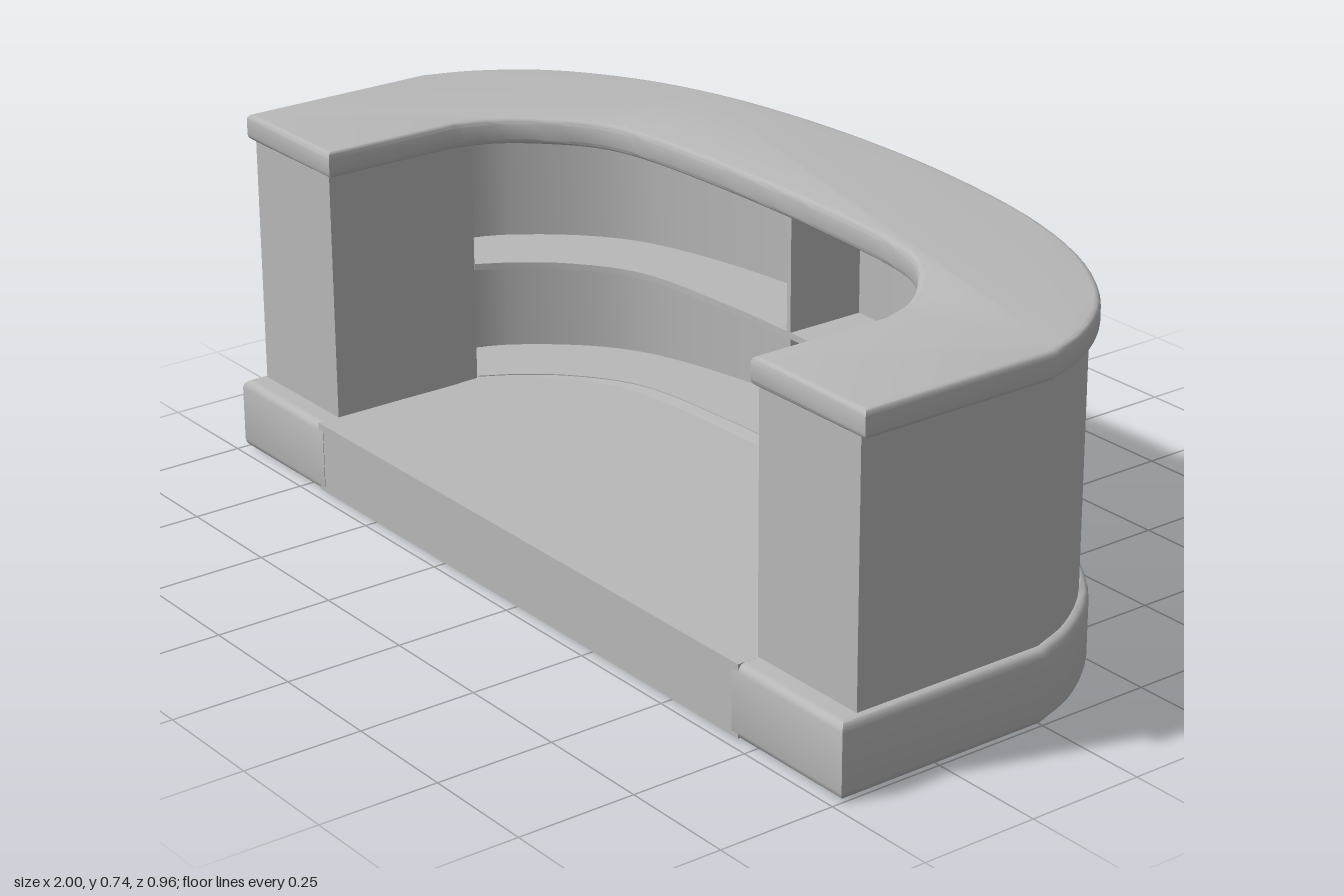
import * as THREE from 'three';
import { toCreasedNormals } from 'three/addons/utils/BufferGeometryUtils.js';
import { RoundedBoxGeometry } from 'three/addons/geometries/RoundedBoxGeometry.js';

// Symmetric plan outline in [x, z]: straight points on the left half, then a
// smooth curve whose last control point lies on the centre line.
function outline(straight, curve) {
  const flip = ([x, z]) => [-x, z];
  const control = [...curve, ...curve.slice(0, -1).reverse().map(flip)];
  const spline = new THREE.CatmullRomCurve3(control.map(([x, z]) => new THREE.Vector3(x, z, 0)));
  return [
    ...straight.map(([x, z]) => new THREE.Vector2(x, z)),
    ...spline.getPoints(48).map((p) => new THREE.Vector2(p.x, p.y)),
    ...straight.map(flip).reverse().map(([x, z]) => new THREE.Vector2(x, z)),
  ];
}

// Outer curve, shrunk by an inset
function outer(front, inset) {
  const k = 1 - inset;
  const curve = [[1, 0], [0.96, -0.105], [0.865, -0.235], [0.7, -0.35], [0.5, -0.425], [0.25, -0.468], [0, -0.481]];
  return outline([[k, front]], curve.map(([x, z]) => [x * k, z < 0 ? z + inset * -z / 0.481 : z]));
}

// Inner curve of the counter top and base, moved outwards by a margin
function inner(front, margin = 0) {
  const curve = [[0.685, 0.13], [0.655, 0.05], [0.59, -0.03], [0.5, -0.1], [0.4, -0.13], [0.2, -0.146], [0, -0.15]];
  return outline([[0.685 + margin, front]], curve.map(([x, z]) => [x * (1 + margin), z - margin]));
}

// Extrude a plan outline between two heights, with a rounded edge
function slab(points, y0, y1, bevel = 0) {
  const geometry = new THREE.ExtrudeGeometry(new THREE.Shape(points), {
    depth: y1 - y0 - 2 * bevel,
    bevelEnabled: bevel > 0,
    bevelThickness: bevel,
    bevelSize: bevel,
    bevelOffset: -bevel,
    bevelSegments: 3,
  });
  geometry.rotateX(Math.PI / 2);
  geometry.translate(0, y1 - bevel, 0);
  return geometry;
}

// Horseshoe between two outlines
const band = (a, b) => [...a, ...b.slice().reverse()];

export function createModel() {
  const model = new THREE.Group();
  model.name = 'receptionCounter';
  const grey = new THREE.MeshStandardMaterial({ color: 0xb8b8b8 });
  grey.name = 'lightGrey';

  function add(name, geometry, x = 0, y = 0, z = 0, crease = 0.6) {
    const mesh = new THREE.Mesh(crease ? toCreasedNormals(geometry, crease) : geometry, grey);
    mesh.name = name;
    mesh.position.set(x, y, z);
    model.add(mesh);
  }

  // Plinth and floor; the underside of the floor rises towards the back
  add('plinth', slab(band(outer(0.479, 0), inner(0.479)), 0, 0.155, 0.018));
  const floor = slab(inner(0.478, 0.018), 0, 0.155);
  const pos = floor.attributes.position;
  for (let i = 0; i < pos.count; i++) {
    if (pos.getY(i) < 0.1) pos.setY(i, 0.004 + 0.05 * (0.478 - pos.getZ(i)));
  }
  floor.computeVertexNormals();
  add('floor', floor);

  // Curved wall with two end posts and a niche behind them
  const nicheBack = [[0.86, 0.05], [0.81, -0.08], [0.64, -0.26], [0.4, -0.345], [0, -0.385]];
  const nicheFront = [[0.705, 0.075], [0.66, 0], [0.58, -0.09], [0.45, -0.17], [0.2, -0.2], [0, -0.205]];
  add('wall', slab(band(outer(0.43, 0.02), outline([[0.7, 0.43], [0.7, 0.08], [0.86, 0.08]], nicheBack)), 0.15, 0.69));

  // Niche bottom, shelf and centre divider
  const shelfPlan = band(outline([], nicheBack), outline([], nicheFront));
  add('nicheBottom', slab(shelfPlan, 0.12, 0.157));
  add('shelf', slab(shelfPlan, 0.398, 0.412));
  add('divider', new THREE.BoxGeometry(0.012, 0.54, 0.19), 0, 0.42, -0.3);

  // Counter top
  add('counterTop', slab(band(outer(0.438, 0), inner(0.438)), 0.685, 0.742, 0.012));

  // Raised panel in two halves on the back
  for (const side of [-1, 1]) {
    add('backPanel', new RoundedBoxGeometry(0.136, 0.235, 0.05, 3, 0.018), side * 0.067, 0.448, -0.454, 0);
  }
  return model;
}
